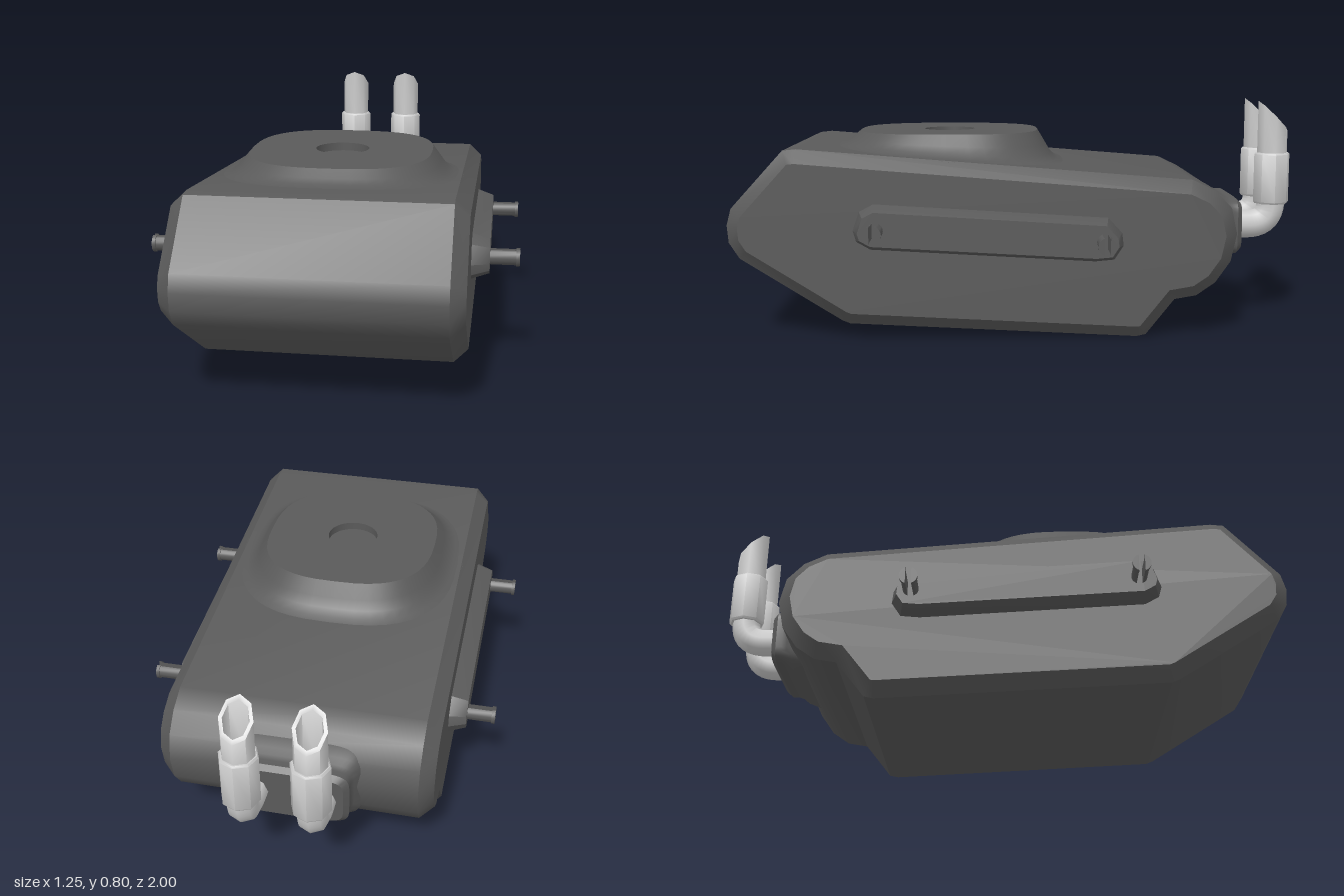
import * as THREE from 'three';
import { toCreasedNormals } from 'three/addons/utils/BufferGeometryUtils.js';

const dark = new THREE.MeshStandardMaterial({ color: 0x5a5a5a });
const grey = new THREE.MeshStandardMaterial({ color: 0xcccccc });

function add(parent, name, geometry, material, crease = 0.6) {
  const mesh = new THREE.Mesh(toCreasedNormals(geometry, crease), material);
  mesh.name = name;
  parent.add(mesh);
  return mesh;
}

// Side profile given as [z, y], extruded between x0 and x1 with chamfered rims
function slab(points, x0, x1, bevelSize, bevelThickness) {
  const shape = new THREE.Shape(points.map(([z, y]) => new THREE.Vector2(z, y)));
  const geometry = new THREE.ExtrudeGeometry(shape, {
    depth: x1 - x0 - 2 * bevelThickness, bevelEnabled: bevelSize > 0, bevelSegments: 1,
    bevelSize, bevelThickness, bevelOffset: -bevelSize,
  });
  geometry.rotateY(-Math.PI / 2);
  return geometry.translate(x1 - bevelThickness, 0, 0);
}

// Skin over superellipse rings [rx, rz, exponent, height(z)], from base to tip
function loft(rings, sides = 48) {
  const pos = [], index = [];
  const power = (v, n) => Math.sign(v) * Math.pow(Math.abs(v), 2 / n);
  rings.forEach(([rx, rz, n, height], i) => {
    for (let j = 0; j < sides; j++) {
      const t = (j / sides) * Math.PI * 2;
      const z = rz * power(Math.sin(t), n);
      pos.push(rx * power(Math.cos(t), n), height(z), z);
      if (i === rings.length - 1) continue;
      const a = i * sides + j, b = i * sides + (j + 1) % sides;
      index.push(a, a + sides, b, b, a + sides, b + sides);
    }
  });
  const geometry = new THREE.BufferGeometry();
  geometry.setAttribute('position', new THREE.Float32BufferAttribute(pos, 3));
  geometry.setIndex(index);
  return geometry;
}

const lathe = (points) =>
  new THREE.LatheGeometry(points.map(([r, y]) => new THREE.Vector2(r, y)), 8);

// Half of a split round pin: circle segment left beyond the central slot
function halfPin(z, y, radius, side) {
  const points = [], limit = Math.acos(0.01 / radius);
  for (let i = 0; i <= 8; i++) {
    const t = limit * (i / 4 - 1);
    points.push([z + side * radius * Math.cos(t), y + radius * Math.sin(t)]);
  }
  return points;
}

export function createModel() {
  const model = new THREE.Group();
  model.name = 'tankBody';

  // Main shell
  const hull = [
    [0.76, 0.66], [0.805, 0.655], [0.985, 0.457], [1, 0.4], [0.995, 0.34], [0.96, 0.285],
    [0.614, 0.067], [0.587, 0.056], [-0.405, 0.006], [-0.437, 0.013], [-0.535, 0.137],
    [-0.61, 0.15], [-0.675, 0.195], [-0.727, 0.27], [-0.747, 0.365], [-0.727, 0.455],
    [-0.67, 0.515], [-0.59, 0.553],
  ];
  add(model, 'shell', slab(hull, -0.467, 0.467, 0.045, 0.047), dark);

  // Raised pad on top: flared foot, flat deck and a round recess
  const padZ = 0.255, deck = 0.7;
  const foot = (k) => (z) => deck + k * (0.66 - 0.079 * (0.76 - padZ - z) - 0.004 - deck);
  const flat = (y) => () => y;
  const padRing = (grow, k) => [0.315 + grow, 0.327 + grow, 2.7, foot(k)];
  const pad = loft([
    padRing(0.11, 1), padRing(0.075, 0.92), padRing(0.05, 0.75), padRing(0.03, 0.45), padRing(0, 0),
    [0.093, 0.093, 2, flat(deck)], [0.093, 0.093, 2, flat(0.672)], [0, 0, 2, flat(0.672)],
  ]);
  add(model, 'topPad', pad, dark).position.z = padZ;

  // Side rails with split pins
  const rail = [
    [0.566, 0.388], [0.544, 0.452], [0.496, 0.478], [-0.298, 0.43], [-0.346, 0.377],
    [-0.351, 0.334], [-0.32, 0.286], [-0.255, 0.28], [0.507, 0.323], [0.555, 0.35],
  ];
  for (const s of [1, -1]) {
    const side = new THREE.Group();
    side.name = s > 0 ? 'leftRail' : 'rightRail';
    model.add(side);
    const span = (a, b) => (s > 0 ? [a, b] : [-b, -a]);
    add(side, 'rail', slab(rail, ...span(0.4, 0.527), 0.02, 0.06), dark);
    for (const [z, y] of [[0.485, 0.397], [-0.282, 0.357]]) {
      for (const half of [1, -1]) {
        add(side, 'pin', slab(halfPin(z, y, 0.027, half), ...span(0.51, 0.618), 0, 0), dark);
        add(side, 'pinLip', slab(halfPin(z, y, 0.031, half), ...span(0.613, 0.625), 0, 0), dark);
      }
    }
  }

  // Rear flange carrying the exhausts
  const flange = loft([
    [0.245, 0.14, 6, flat(0.69)], [0.23, 0.125, 6, flat(0.735)], [0.212, 0.11, 6, flat(0.755)],
    [0.205, 0.105, 6, flat(0.775)], [0.205, 0.105, 6, flat(0.797)], [0.188, 0.09, 6, flat(0.815)],
    [0, 0, 6, flat(0.815)],
  ]);
  flange.rotateX(-Math.PI / 2);
  add(model, 'rearFlange', flange, dark).position.y = 0.35;

  // Exhaust pipes: elbow, sleeve and a hollow slanted tip
  const pipeZ = -0.935;
  for (const x of [0.113, -0.113]) {
    const exhaust = new THREE.Group();
    exhaust.name = x > 0 ? 'leftExhaust' : 'rightExhaust';
    exhaust.position.set(x, 0, pipeZ);
    model.add(exhaust);
    const path = new THREE.CurvePath();
    const p = (y, z) => new THREE.Vector3(0, y, z);
    path.add(new THREE.LineCurve3(p(0.352, 0.135), p(0.352, 0.085)));
    path.add(new THREE.QuadraticBezierCurve3(p(0.352, 0.085), p(0.352, 0), p(0.437, 0)));
    path.add(new THREE.LineCurve3(p(0.437, 0), p(0.47, 0)));
    add(exhaust, 'elbow', new THREE.TubeGeometry(path, 16, 0.052, 8), grey, 0.9);
    const sleeve = lathe([[0.045, 0.43], [0.06, 0.43], [0.065, 0.437], [0.065, 0.612],
      [0.06, 0.618], [0.045, 0.618]]);
    add(exhaust, 'sleeve', sleeve, grey, 0.9);
    const tip = lathe([[0.055, 0.6], [0.055, 0.752], [0.043, 0.752], [0.043, 0.63], [0, 0.63]]);
    const v = tip.attributes.position;
    for (let i = 0; i < v.count; i++) if (v.getY(i) > 0.7) v.setY(i, v.getY(i) + v.getZ(i));
    add(exhaust, 'tip', tip, grey, 0.9);
  }
  return model;
}
